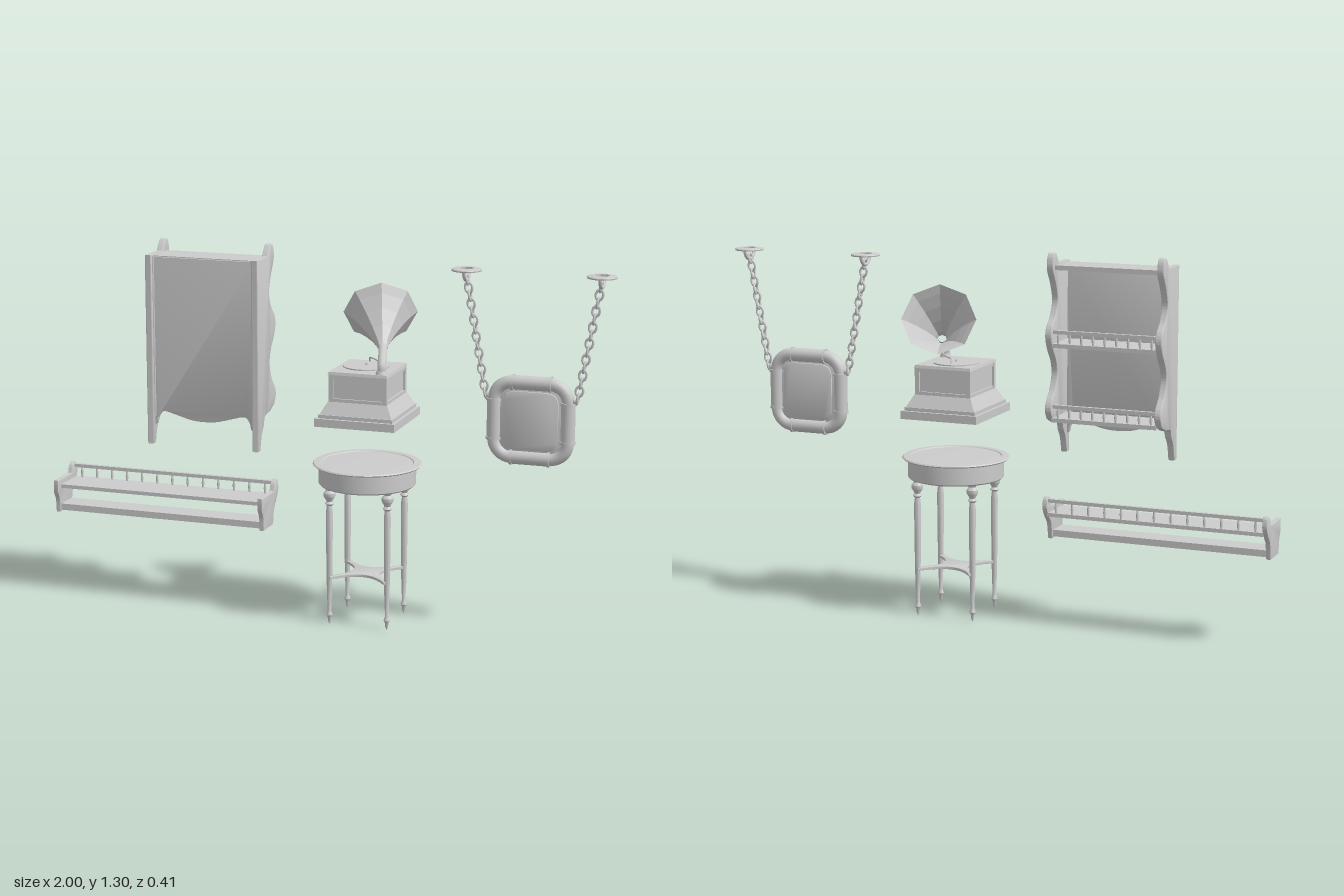
import * as THREE from 'three';
import { toCreasedNormals } from 'three/addons/utils/BufferGeometryUtils.js';

const grey = new THREE.MeshStandardMaterial({ color: 0xcccccc });
const faceted = new THREE.MeshStandardMaterial({ color: 0xcccccc, flatShading: true, side: THREE.DoubleSide });
const V = (x, y, z) => new THREE.Vector3(x, y, z);

function add(parent, name, geo, x = 0, y = 0, z = 0, mat = grey) {
  const m = new THREE.Mesh(geo, mat);
  m.name = name;
  m.position.set(x, y, z);
  parent.add(m);
  return m;
}
function group(parent, name, x = 0, y = 0, z = 0) {
  const g = new THREE.Group();
  g.name = name;
  g.position.set(x, y, z);
  parent.add(g);
  return g;
}
// box given by its limits
const box = (p, name, x0, x1, y0, y1, z0, z1) =>
  add(p, name, new THREE.BoxGeometry(x1 - x0, y1 - y0, z1 - z0), (x0 + x1) / 2, (y0 + y1) / 2, (z0 + z1) / 2);
const lathe = (pts, seg = 24) => toCreasedNormals(
  new THREE.LatheGeometry(pts.map(p => new THREE.Vector2(p[0], p[1])), seg), 0.6);
const tube = (pts, r) => new THREE.TubeGeometry(new THREE.CatmullRomCurve3(pts), 24, r, 10);

// bevelled plate, centred on its thickness
function plate(shape, t, bevel = 0.004) {
  const g = new THREE.ExtrudeGeometry(shape, {
    depth: t - 2 * bevel, bevelThickness: bevel, bevelSize: bevel, bevelOffset: -bevel, bevelSegments: 2, curveSegments: 10 });
  g.translate(0, 0, -(t - 2 * bevel) / 2);
  return toCreasedNormals(g, 0.6);
}
// outline of straight runs (point) and smooth runs (list of points)
function outline(runs) {
  const s = new THREE.Shape();
  runs.forEach((r, i) => {
    if (i === 0) s.moveTo(...r);
    else if (Array.isArray(r[0])) s.splineThru(r.map(p => new THREE.Vector2(...p)));
    else s.lineTo(...r);
  });
  return s;
}
// board lying in the zy plane
const sideBoard = (shape, t) => plate(shape, t).rotateY(-Math.PI / 2);

// row of balusters with a hand rail
function gallery(parent, x0, x1, y, h, z, n) {
  const g = group(parent, 'galleryRail');
  box(g, 'handRail', x0, x1, y + h - 0.012, y + h, z - 0.007, z + 0.007);
  const post = lathe([[0.003, 0], [0.0055, h * 0.35], [0.0035, h * 0.6], [0.004, h]], 8);
  for (let i = 0; i < n; i++) add(g, 'baluster', post, x0 + (x1 - x0) * (i + 0.5) / n, y, z);
}

function bookcase(root) {
  const g = group(root, 'bookcase');
  const side = sideBoard(outline([
    [0.12, 0.592], [0.12, 1.257], [0.015, 1.257],
    [[0.003, 1.275], [-0.018, 1.295], [-0.038, 1.283], [-0.043, 1.24], [-0.012, 1.185], [0.005, 1.13],
      [-0.015, 1.08], [-0.048, 1.045], [-0.056, 1.01], [-0.04, 0.97], [-0.008, 0.925], [0.003, 0.88],
      [-0.015, 0.83], [-0.048, 0.79], [-0.056, 0.76], [-0.04, 0.73]],
    [0.0, 0.712], [[0.05, 0.705], [0.065, 0.675], [0.085, 0.645], [0.1, 0.592]]]), 0.024);
  for (const x of [-0.615, -0.225]) {
    add(g, 'sideBoard', side, x);
    add(g, 'sideBeading', new THREE.CylinderGeometry(0.006, 0.006, 0.56, 8), x + (x < -0.4 ? 0.012 : -0.012), 0.97, 0.104);
  }
  // back panel with a scalloped lower edge
  const panel = outline([[-0.19, 1.25], [-0.19, 0.66],
    [[-0.175, 0.665], [-0.168, 0.69], [-0.15, 0.708], [-0.11, 0.7], [-0.05, 0.684], [0, 0.68], [0.05, 0.684],
      [0.11, 0.7], [0.15, 0.708], [0.168, 0.69], [0.175, 0.665], [0.19, 0.66]], [0.19, 1.25]]);
  add(g, 'backPanel', plate(panel, 0.012, 0.002), -0.42, 0, 0.1);
  box(g, 'topBoard', -0.607, -0.233, 1.237, 1.253, -0.025, 0.1);
  for (const y of [0.99, 0.735]) {
    box(g, 'shelf', -0.607, -0.233, y - 0.014, y, -0.045, 0.1);
    gallery(g, -0.607, -0.233, y, 0.045, -0.036, 9);
  }
}

function wallShelf(root) {
  const g = group(root, 'wallShelf');
  const end = sideBoard(outline([[0.112, 0.38], [0.112, 0.424], [-0.008, 0.424],
    [[-0.018, 0.45], [-0.035, 0.461], [-0.05, 0.453], [-0.054, 0.42], [-0.035, 0.388], [-0.012, 0.36], [0.0, 0.305]],
    [0.094, 0.305], [[0.098, 0.35], [0.112, 0.38]]]), 0.018);
  for (const x of [-0.991, -0.214]) add(g, 'endBoard', end, x);
  box(g, 'upperBoard', -0.985, -0.22, 0.392, 0.405, -0.045, 0.086);
  box(g, 'lowerBoard', -0.985, -0.22, 0.312, 0.335, 0.004, 0.09);
  gallery(g, -0.985, -0.22, 0.405, 0.048, -0.037, 13);
}

function table(root) {
  const g = group(root, 'roundTable', 0.147, 0, 0.018);
  add(g, 'tableTop', lathe([[0, 0.488], [0.163, 0.488], [0.168, 0.493], [0.168, 0.555], [0.184, 0.556],
    [0.188, 0.56], [0.184, 0.564], [0.16, 0.565], [0.157, 0.562], [0, 0.562]], 48));
  const leg = lathe([[0, 0], [0.005, 0.012], [0.006, 0.025], [0.011, 0.034], [0.008, 0.044], [0.006, 0.05],
    [0.009, 0.12], [0.011, 0.25], [0.012, 0.4], [0.009, 0.425], [0.016, 0.432], [0.01, 0.44], [0.012, 0.445],
    [0.02, 0.458], [0.02, 0.47], [0.012, 0.48], [0.018, 0.49]], 16);
  for (const sx of [-1, 1]) for (const sz of [-1, 1]) add(g, 'leg', leg, sx * 0.104, 0, sz * 0.098);
  // four-pointed stretcher with hollow sides
  const s = new THREE.Shape();
  const a = 0.114, b = 0.096;
  s.moveTo(a, b);
  for (let i = 0; i < 4; i++) {
    const t = i * Math.PI / 2, c = Math.cos(t), n = Math.sin(t);
    const at = (x, y) => [x * c - y * n, x * n + y * c];
    s.lineTo(...at(b, a));
    s.quadraticCurveTo(...at(0, -0.015), ...at(-b, a));
  }
  add(g, 'stretcher', plate(s, 0.01, 0.002).rotateX(-Math.PI / 2), 0, 0.17, 0);
}

// four-sided block tapering from (w0, d0) to (w1, d1)
function block(parent, name, w0, d0, w1, d1, y0, y1) {
  const geo = new THREE.BoxGeometry(1, 1, 1), p = geo.attributes.position;
  for (let i = 0; i < p.count; i++) {
    const top = p.getY(i) > 0;
    p.setXYZ(i, p.getX(i) * (top ? w1 : w0), top ? y1 : y0, p.getZ(i) * (top ? d1 : d0));
  }
  geo.computeVertexNormals();
  add(parent, name, geo);
}

function gramophone(root) {
  const g = group(root, 'gramophone', 0.146, 0, 0.014);
  block(g, 'basePlate', 0.284, 0.3, 0.284, 0.3, 0.71, 0.738);
  block(g, 'baseStep', 0.262, 0.278, 0.262, 0.278, 0.738, 0.75);
  block(g, 'moulding', 0.255, 0.272, 0.21, 0.228, 0.75, 0.792);
  block(g, 'cabinet', 0.19, 0.212, 0.19, 0.212, 0.79, 0.885);
  // raised frame round the cabinet panels
  for (const s of [-1, 1]) {
    for (const t of [-1, 1]) add(g, 'cornerPost', new THREE.BoxGeometry(0.016, 0.095, 0.016), s * 0.095, 0.838, t * 0.106);
    for (const y of [0.797, 0.879]) {
      add(g, 'frontRail', new THREE.BoxGeometry(0.19, 0.012, 0.012), 0, y, s * 0.107);
      add(g, 'sideRail', new THREE.BoxGeometry(0.012, 0.012, 0.212), s * 0.096, y, 0);
    }
  }
  block(g, 'lid', 0.21, 0.232, 0.205, 0.227, 0.885, 0.895);
  add(g, 'turntable', new THREE.CylinderGeometry(0.08, 0.08, 0.004, 40), -0.01, 0.897, -0.015);
  add(g, 'spindle', new THREE.CylinderGeometry(0.003, 0.003, 0.01, 8), -0.01, 0.902, -0.015);
  add(g, 'toneArm', tube([V(-0.016, 0.9, -0.075), V(-0.015, 0.914, -0.067), V(0.02, 0.917, -0.03), V(0.055, 0.917, 0.02),
    V(0.076, 0.92, 0.085)], 0.003));
  // bent pipe and eight-sided horn
  add(g, 'pipe', tube([V(0.078, 0.893, 0.092), V(0.078, 0.92, 0.09), V(0.072, 0.95, 0.064), V(0.063, 0.966, 0.032),
    V(0.052, 0.975, 0.004)], 0.015));
  add(g, 'pipeFoot', new THREE.CylinderGeometry(0.017, 0.021, 0.012, 16), 0.078, 0.9, 0.092);
  const bell = new THREE.LatheGeometry([[0.017, -0.012], [0.022, 0.01], [0.045, 0.06], [0.075, 0.112], [0.105, 0.155], [0.128, 0.182]]
    .map(p => new THREE.Vector2(...p)), 8).rotateX(Math.PI / 2);
  const horn = add(g, 'horn', bell, 0.054, 0.973, 0.006, faceted);
  const dir = V(-0.056, 0.092, -0.152);
  horn.quaternion.setFromRotationMatrix(new THREE.Matrix4().lookAt(dir, V(0, 0, 0), V(0, 1, 0)));
}

function hangingMirror(root) {
  const g = group(root, 'hangingMirror', 0.72, 0.753, 0.02);
  const w = 0.127, h = 0.128, c = 0.062, r = 0.024;
  // rounded panel with a raised field
  const rounded = (a, b, k) => outline([[a, -b + k], [a, b - k],
    [[a - k * 0.29, b - k * 0.29], [a - k, b]], [-a + k, b], [[-a + k * 0.29, b - k * 0.29], [-a, b - k]],
    [-a, -b + k], [[-a + k * 0.29, -b + k * 0.29], [-a + k, -b]], [a - k, -b], [[a - k * 0.29, -b + k * 0.29], [a, -b + k]]]);
  add(g, 'backing', plate(rounded(w, h, c), 0.014, 0.002));
  add(g, 'mirrorPanel', plate(rounded(0.095, 0.1, 0.035), 0.024, 0.003));
  // padded rails, elbows and collars
  const collar = new THREE.CylinderGeometry(r + 0.003, r + 0.003, 0.009, 20);
  for (const s of [-1, 1]) {
    add(g, 'uprightRail', new THREE.CylinderGeometry(r, r, 2 * (h - c), 20), s * w);
    add(g, 'crossRail', new THREE.CylinderGeometry(r, r, 2 * (w - c), 20), 0, s * h).rotation.z = Math.PI / 2;
    for (const t of [-1, 1]) {
      const turn = s > 0 ? (t > 0 ? 0 : -Math.PI / 2) : (t > 0 ? Math.PI / 2 : Math.PI);
      add(g, 'elbow', new THREE.TorusGeometry(c, r - 0.002, 16, 12, Math.PI / 2), s * (w - c), t * (h - c)).rotation.z = turn;
      add(g, 'collar', collar, s * w, t * (h - c));
      add(g, 'collar', collar, s * (w - c), t * h).rotation.z = Math.PI / 2;
    }
  }
  // chains and ceiling rings
  const link = new THREE.TorusGeometry(0.0125, 0.004, 8, 16).scale(1, 1.35, 1);
  for (const s of [-1, 1]) {
    const low = V(s * 0.158, 0.085, 0), high = V(s * 0.226, 0.465, 0);
    const d = high.clone().sub(low), n = 15;
    add(g, 'eyeBolt', new THREE.SphereGeometry(0.012, 14, 10), s * 0.148, 0.078, 0);
    const chain = group(g, 'chain', low.x, low.y, 0);
    chain.quaternion.setFromUnitVectors(V(0, 1, 0), d.clone().normalize());
    for (let i = 0; i < n; i++)
      add(chain, 'link', link, 0, d.length() * i / (n - 1), 0).rotation.y = i % 2 ? 0 : Math.PI / 2;
    add(g, 'ceilingRing', lathe([[0.023, 0.494], [0.05, 0.494], [0.051, 0.498], [0.049, 0.501], [0.023, 0.503], [0.023, 0.494]], 32),
      s * 0.229);
    const staple = add(g, 'staple', new THREE.TorusGeometry(0.034, 0.006, 10, 20, Math.PI), s * 0.229, 0.497, 0);
    staple.rotation.set(Math.PI, Math.PI / 2, 0);
  }
}

export function createModel() {
  const root = new THREE.Group();
  root.name = 'parlourFurniture';
  bookcase(root);
  wallShelf(root);
  table(root);
  gramophone(root);
  hangingMirror(root);
  return root;
}
